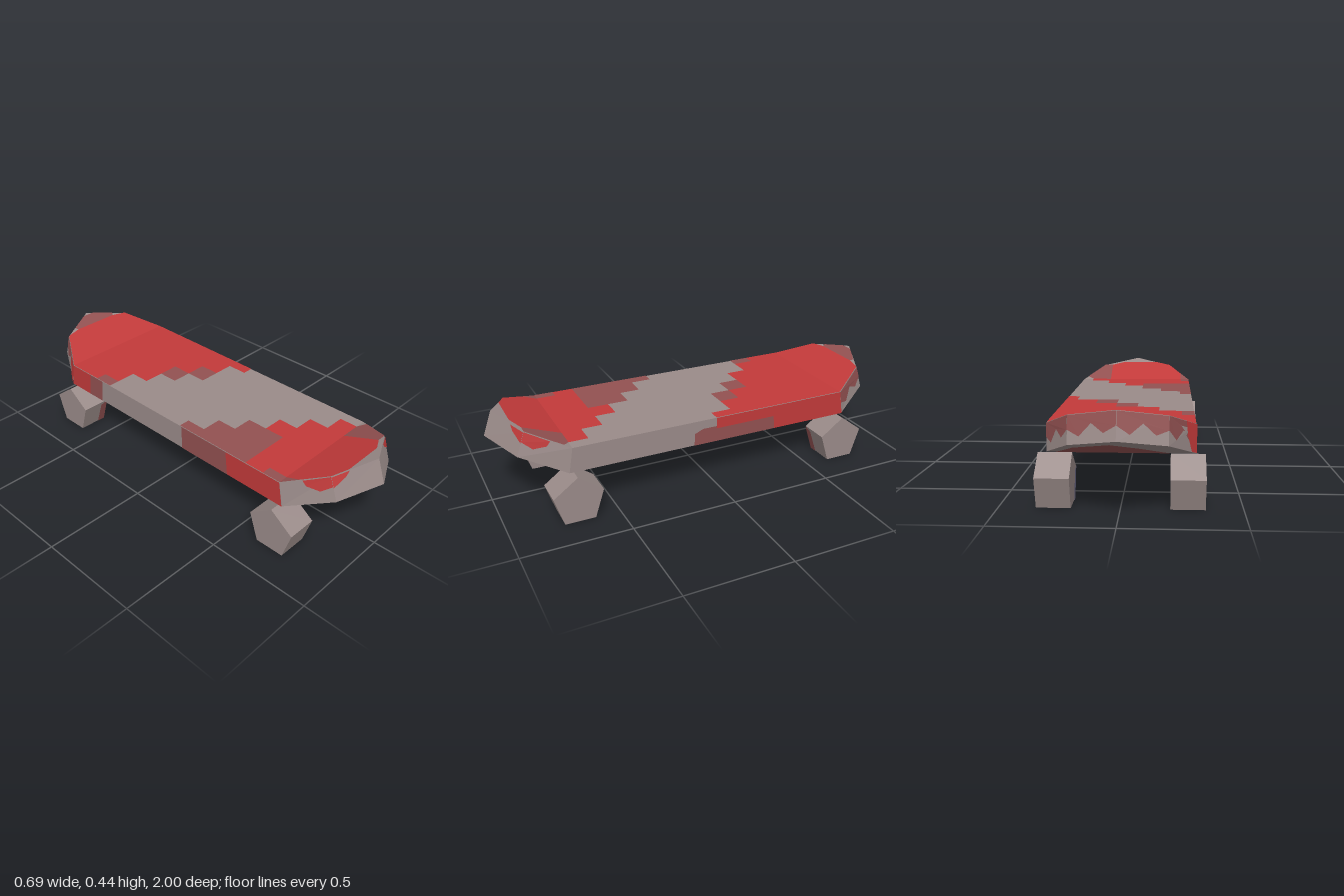
import * as THREE from 'three';

const flat = (name, color) => new THREE.MeshStandardMaterial({ name, color, flatShading: true });

export function createModel() {
  const grey = flat('worn grey', 0x9a8b89);
  const red = flat('red paint', 0xc23a3a);
  const muted = flat('faded red', 0x925151);
  const purple = flat('dull purple', 0x6c6987);
  const model = new THREE.Group();
  model.name = 'skateboard';
  const P = (x, y, z) => new THREE.Vector3(x, y, z);

  // Thin painted patch: a 2D outline mapped bilinearly onto a quad [A, B, C, D]
  function paint(name, mat, [A, B, C, D], pts, lift = 0.002, parent = model) {
    const geo = new THREE.ShapeGeometry(new THREE.Shape(pts.map(([u, v]) => new THREE.Vector2(u, v))));
    const n = B.clone().sub(A).cross(D.clone().sub(A)).normalize();
    const pos = geo.attributes.position;
    for (let i = 0; i < pos.count; i++) {
      const u = pos.getX(i), v = pos.getY(i);
      const p = P(0, 0, 0)
        .addScaledVector(A, (1 - u) * (1 - v)).addScaledVector(B, u * (1 - v))
        .addScaledVector(C, u * v).addScaledVector(D, (1 - u) * v)
        .addScaledVector(n, lift);
      pos.setXYZ(i, p.x, p.y, p.z);
    }
    geo.computeVertexNormals();
    const mesh = new THREE.Mesh(geo, mat);
    mesh.name = name;
    parent.add(mesh);
  }
  const plane = (A, U, V) => [A, A.clone().add(U), A.clone().add(U).add(V), A.clone().add(V)];
  const rect = (a, b, c, d) => [[a, b], [c, b], [c, d], [a, d]];

  // Deck: top and bottom outlines, with upturned pointed ends
  const ring = (corner, mid, tip) => {
    const mirror = ([x, y, z]) => P(-x, y, z);
    const front = [P(...corner), P(...mid), P(...tip), mirror(mid), mirror(corner)];
    return [...front, ...front.map((p) => P(-p.x, p.y, -p.z))];
  };
  const top = ring([0.305, 0.343, 0.69], [0.195, 0.407, 0.865], [0, 0.443, 0.96]);
  const bot = ring([0.305, 0.225, 0.71], [0.195, 0.295, 0.903], [0, 0.331, 1.0]);
  const side = (k) => {
    const j = (k + 1) % 10;
    return [bot[j], bot[k], top[k], top[j]];
  };
  const tris = [];
  const fan = (pts) => {
    for (let i = 1; i < pts.length - 1; i++) tris.push(pts[0], pts[i], pts[i + 1]);
  };
  for (const group of [[0, 1, 2, 3, 4], [5, 6, 7, 8, 9], [0, 4, 5, 9]]) {
    fan(group.map((i) => top[i]).reverse());
    fan(group.map((i) => bot[i]));
  }
  for (let k = 0; k < 10; k++) fan(side(k));
  const deckGeo = new THREE.BufferGeometry().setFromPoints(tris);
  deckGeo.computeVertexNormals();
  const deck = new THREE.Mesh(deckGeo, grey);
  deck.name = 'deck';
  model.add(deck);

  // Deck top paint, outlines in (z, x)
  const X = P(1, 0, 0);
  const flatTop = plane(P(0, 0.343, 0), P(0, 0, 1), X);
  const frontTop = plane(P(0, 0.0877, 0), P(0, 0.37, 1), X);
  const backTop = plane(P(0, 0.0877, 0), P(0, -0.37, 1), X);
  paint('topBackRed', red, flatTop, [[-0.69, -0.305], [-0.5, -0.305], [-0.5, -0.25], [-0.4, -0.25], [-0.4, -0.15],
    [-0.3, -0.15], [-0.3, -0.05], [-0.3, 0.05], [-0.2, 0.05], [-0.2, 0.15], [-0.1, 0.15], [-0.1, 0.25], [0, 0.25],
    [0, 0.305], [-0.69, 0.305]]);
  paint('topBackFaded', muted, flatTop, rect(-0.5, -0.305, -0.4, -0.25));
  paint('topBackFaded', muted, flatTop, rect(-0.3, -0.05, -0.2, 0.05));
  paint('topBackFaded', muted, flatTop, rect(-0.2, 0.05, -0.1, 0.15));
  paint('topFrontFaded', muted, flatTop, [[0.1, -0.305], [0.1, -0.25], [0.2, -0.25], [0.2, -0.15], [0.3, -0.15],
    [0.3, -0.05], [0.5, -0.05], [0.5, -0.305]]);
  paint('topFrontRed', red, flatTop, [[0.5, -0.305], [0.5, -0.05], [0.4, -0.05], [0.4, 0.05], [0.5, 0.05], [0.5, 0.15],
    [0.6, 0.15], [0.6, 0.25], [0.69, 0.25], [0.69, -0.305]]);
  paint('topFrontFaded', muted, flatTop, rect(0.6, -0.305, 0.69, -0.26), 0.003);
  paint('noseRed', red, frontTop, [[0.69, -0.26], [0.76, -0.26], [0.865, -0.195], [0.9, -0.12], [0.9, 0.08],
    [0.865, 0.15], [0.69, 0.15]]);
  paint('noseFaded', muted, frontTop, [[0.69, 0.15], [0.865, 0.15], [0.865, 0.195], [0.72, 0.285], [0.69, 0.25]]);
  paint('noseFaded', muted, frontTop, [[0.69, -0.305], [0.76, -0.26], [0.69, -0.26]]);
  paint('tailRed', red, backTop, [[-0.69, -0.305], [-0.69, 0.305], [-0.865, 0.195], [-0.88, 0.12], [-0.88, -0.12], [-0.865, -0.195]]);
  paint('tailFaded', muted, backTop, [[-0.88, -0.12], [-0.88, 0.12], [-0.895, 0.13], [-0.945, 0.03], [-0.945, -0.03], [-0.895, -0.13]]);

  // Underside paint, outlines in (x, z)
  const under = (y, s) => plane(P(0, y, 0), X, P(0, s, 1));
  paint('undersideFaded', muted, under(0.225, 0), [[-0.12, 0.71], [0.2, 0.71], [0.29, 0.55], [0.305, 0.3], [0.305, -0.71],
    [-0.2, -0.71], [-0.27, -0.5], [-0.3, -0.2], [-0.29, 0.4], [-0.24, 0.6]]);
  paint('undersideRed', red, under(0.225, 0), [[0.24, 0.37], [0.25, -0.06], [0.03, -0.22], [-0.03, -0.1], [-0.27, -0.29],
    [-0.23, 0.2], [-0.05, 0.42]], 0.004);
  paint('noseUnderFaded', muted, under(-0.032, 0.362), [[-0.12, 0.71], [-0.07, 0.74], [-0.06, 0.93], [0.035, 0.93],
    [0.05, 0.84], [0.12, 0.82], [0.14, 0.74], [0.2, 0.71]]);
  paint('tailUnderFaded', muted, under(-0.032, -0.362), [[-0.2, -0.71], [0.27, -0.71], [0.18, -0.85], [0.03, -0.93], [-0.08, -0.84]]);

  // Long edges, outlines as fractions of the face
  paint('leftEdgeRed', red, side(9), [[0.5, 0.55], [0.72, 0.55], [0.72, 0], [1, 0], [1, 1], [0.5, 1]]);
  paint('leftEdgeFaded', muted, side(9), [[0.42, 0], [0.72, 0], [0.72, 0.55], [0.5, 0.55], [0.5, 0.65], [0.45, 0.65], [0.42, 0.5]]);
  paint('rightEdgeRed', red, side(4), rect(0, 0, 0.1, 1));
  paint('rightEdgeFaded', muted, side(4), rect(0.1, 0, 0.17, 1));
  paint('rightEdgeFaded', muted, side(4), rect(0.58, 0, 0.78, 1));
  paint('rightEdgeRed', red, side(4), rect(0.78, 0, 1, 1));

  // Nose edge patches, mirrored
  const outer = [[0, 1], [0.55, 0.98], [0.5, 0.75], [0.25, 0.48], [0, 0.6]];
  const inner = [[0.62, 0.98], [0.72, 0.8], [1, 0.55], [1, 0.98]];
  const flip = (pts) => pts.map(([u, v]) => [1 - u, v]);
  paint('noseEdgeRed', red, side(0), outer);
  paint('noseEdgeRed', red, side(1), inner);
  paint('noseEdgeRed', red, side(2), flip(inner));
  paint('noseEdgeRed', red, side(3), flip(outer));

  // Jagged faded band around the tail edge
  const teeth = [[0, 0.98], [0, 0.5], [0.25, 0.25], [0.5, 0.65], [0.75, 0.3], [1, 0.5], [1, 0.98]];
  for (let k = 5; k < 9; k++) paint('tailEdgeFaded', muted, side(k), teeth);
  paint('tailEdgeRed', red, side(5), [[0.6, 0.98], [0.65, 0.5], [0.8, 0], [1, 0], [1, 0.98]], 0.004);

  // Five-sided wheels with paint spots on the inner corner
  const wheelGeo = new THREE.CylinderGeometry(0.12, 0.12, 0.143, 5)
    .rotateZ(Math.PI / 2).rotateX(-Math.PI / 2).toNonIndexed();
  wheelGeo.computeVertexNormals();
  const unit = rect(0, 0, 1, 1);
  for (const sx of [1, -1]) for (const sz of [1, -1]) {
    const group = new THREE.Group();
    group.name = `${sz > 0 ? 'front' : 'back'}${sx > 0 ? 'Left' : 'Right'}Wheel`;
    group.position.set(sx * 0.274, 0.0975, sz * 0.687);
    model.add(group);
    const wheel = new THREE.Mesh(wheelGeo, grey);
    wheel.name = 'wheel';
    group.add(wheel);
    const quad = (pts) => {
      const q = pts.map(([x, y, z]) => P(x * sx, y, z * sz));
      return sx * sz > 0 ? q : q.reverse();
    };
    const e = -0.0715;
    paint('innerSpot', purple, quad([[e, -0.097, -0.07], [e, -0.097, -0.03], [e, 0.025, -0.07], [e, 0.037, -0.114]]), unit, 0.002, group);
    paint('rimSpot', muted, quad([[e, -0.097, -0.0705], [e, 0.037, -0.114], [-0.035, 0.02, -0.1086], [-0.03, -0.097, -0.0705]]), unit, 0.002, group);
  }
  return model;
}
